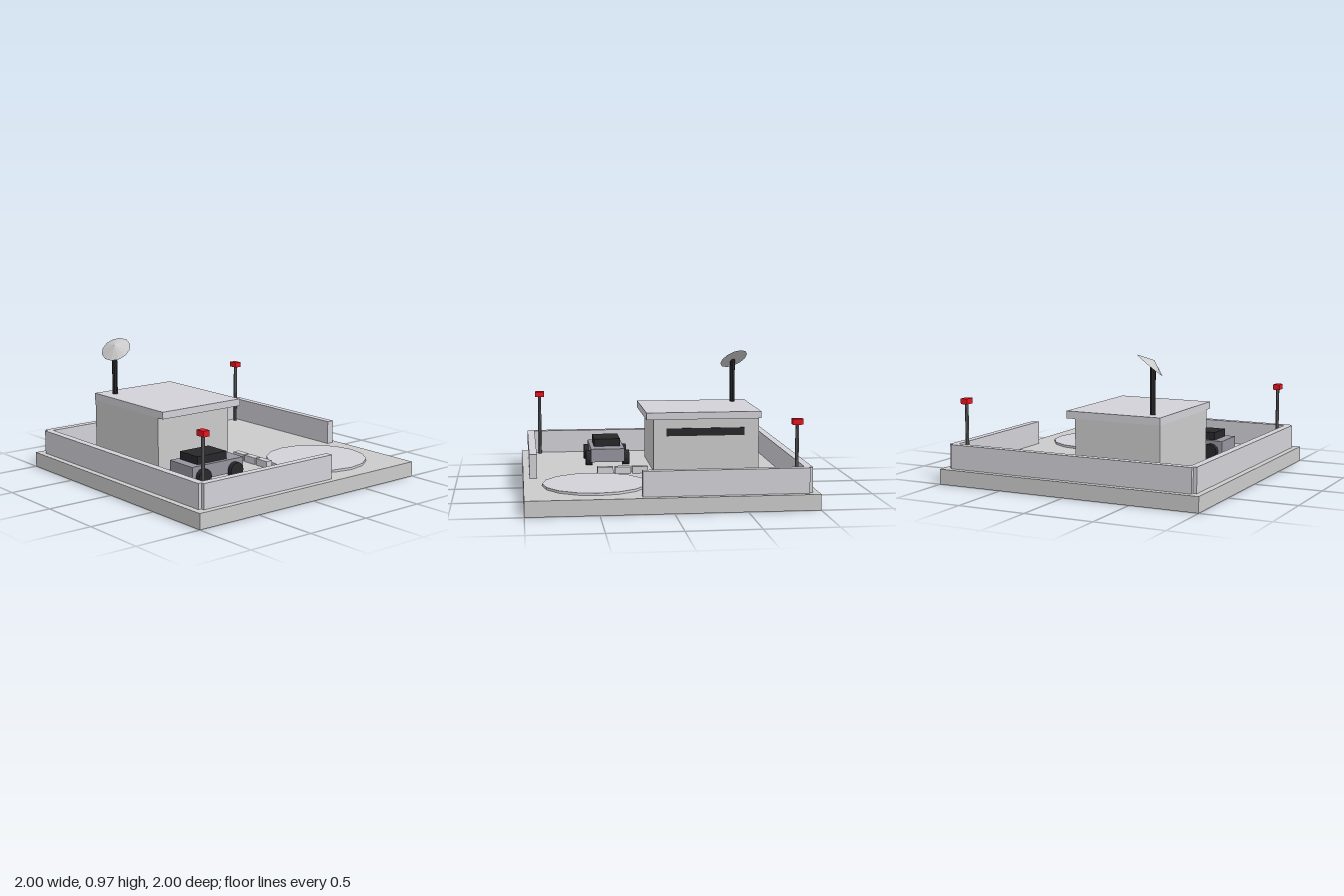
import * as THREE from 'three';

const mat = (color) => new THREE.MeshStandardMaterial({ color, flatShading: true });

export function createModel() {
  const group = new THREE.Group();
  const grey = mat(0xcccccc), pale = mat(0xd2d1d8), steel = mat(0x9695a0);
  const pole = mat(0x6a6a6e), dark = mat(0x28282b), red = mat(0xe81420);

  const add = (name, geometry, material, x, y, z) => {
    const mesh = new THREE.Mesh(geometry, material);
    mesh.name = name;
    mesh.position.set(x, y, z);
    group.add(mesh);
    return mesh;
  };
  // Box given by its extents on each axis
  const box = (name, material, [x0, x1], [y0, y1], [z0, z1]) =>
    add(name, new THREE.BoxGeometry(x1 - x0, y1 - y0, z1 - z0), material,
      (x0 + x1) / 2, (y0 + y1) / 2, (z0 + z1) / 2);
  // Upright cylinder between two heights
  const post = (name, material, r, sides, x, y0, y1, z) =>
    add(name, new THREE.CylinderGeometry(r, r, y1 - y0, sides), material, x, (y0 + y1) / 2, z);

  const ground = 0.11;
  box('base', grey, [-1, 1], [0, ground], [-1, 1]);

  // Perimeter walls, open at the landing pad corner
  const wallY = [ground, 0.285];
  box('rightWall', pale, [-0.955, -0.9], wallY, [-0.93, 0.93]);
  box('frontWall', pale, [-0.93, 0.93], wallY, [0.9, 0.955]);
  box('backWall', pale, [-0.93, 0.21], wallY, [-0.955, -0.9]);
  box('leftWall', pale, [0.9, 0.955], wallY, [-0.215, 0.93]);

  // Bunker with overhanging roof and a slit window at the back
  box('bunker', grey, [-0.755, 0.035], [ground, 0.505], [-0.035, 0.61]);
  box('bunkerRoof', pale, [-0.76, 0.095], [0.505, 0.557], [-0.1, 0.612]);
  box('slitWindow', dark, [-0.645, -0.06], [0.373, 0.43], [-0.043, -0.03]);

  // Landing pad
  post('landingPad', pale, 0.37, 16, 0.5, ground, 0.127, -0.5);

  // Row of barrier blocks
  for (let i = 0; i < 3; i++) {
    const x = 0.085 + i * 0.128;
    box('barrierBlock', pale, [x, x + 0.115], [ground, 0.16], [-0.1, -0.048]);
  }

  // Corner lamps on poles
  for (const s of [-1, 1]) {
    post('lampPole', pole, 0.013, 8, s * 0.857, ground, 0.58, s * 0.857);
    box('lamp', red, [s * 0.857 - 0.036, s * 0.857 + 0.036], [0.57, 0.61],
      [s * 0.857 - 0.026, s * 0.857 + 0.026]);
  }

  // Tilted dish on the roof
  post('dishMast', dark, 0.02, 8, -0.645, 0.55, 0.895, 0.505);
  const dish = add('dish', new THREE.ConeGeometry(0.1126, 0.045, 12), grey, -0.646, 0.91, 0.498);
  dish.quaternion.setFromUnitVectors(new THREE.Vector3(0, 1, 0),
    new THREE.Vector3(0.3, 0.765, 0.57).normalize());

  // Vehicle
  box('vehicleBody', steel, [0.23, 0.485], [0.145, 0.245], [0.2, 0.655]);
  box('vehicleCabin', dark, [0.255, 0.455], [0.24, 0.302], [0.328, 0.585]);
  const wheel = new THREE.CylinderGeometry(0.057, 0.057, 0.05, 12).rotateZ(Math.PI / 2);
  for (const x of [0.216, 0.496])
    for (const z of [0.283, 0.568]) add('wheel', wheel, dark, x, ground + 0.057, z);

  return group;
}
